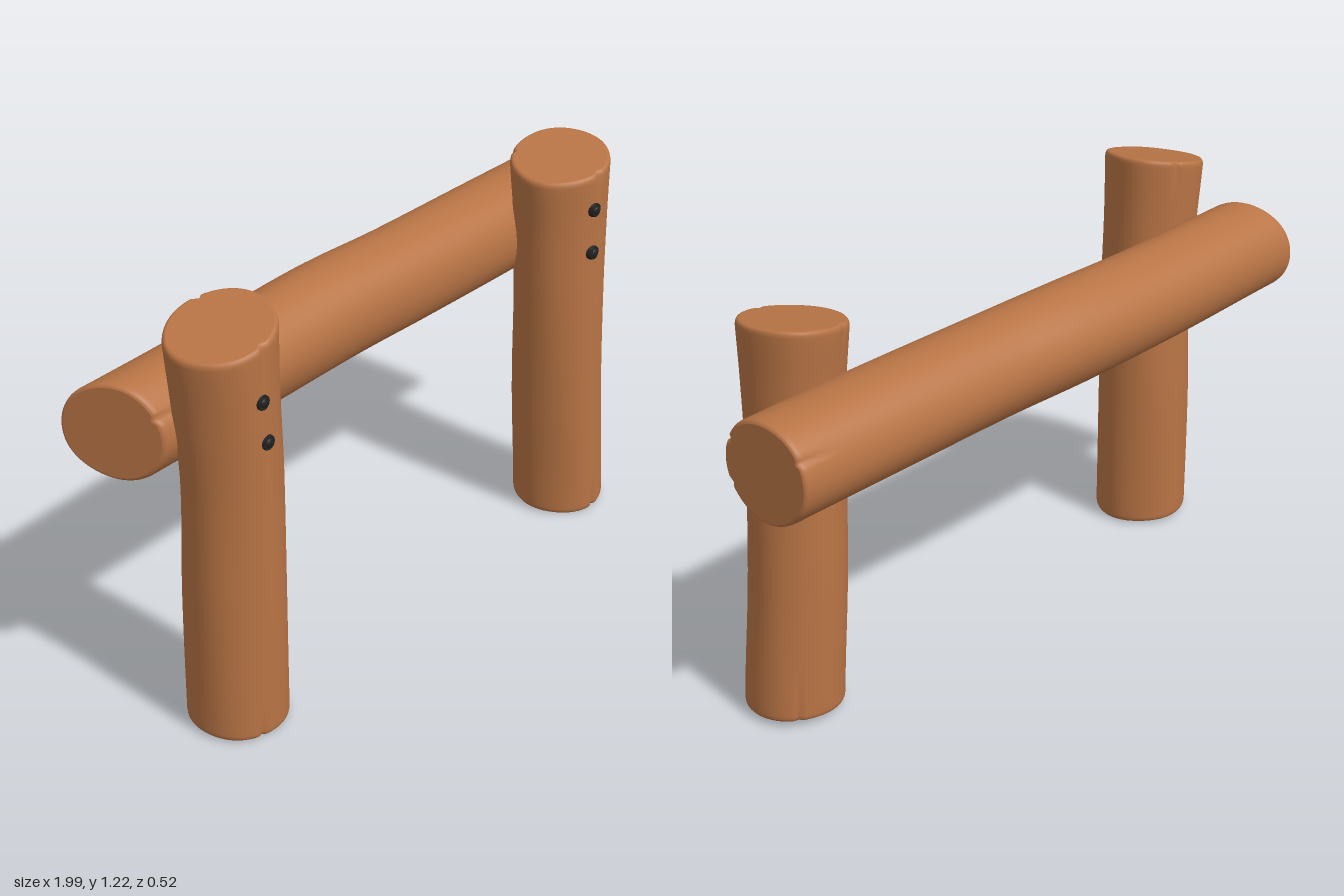
import * as THREE from 'three';

const SEG = 96;

// Piecewise smooth lookup through stations [t, centreA, centreB, radiusA, radiusB]
function profile(stations) {
  const curves = [1, 2, 3, 4].map(k => new THREE.SplineCurve(stations.map(s => new THREE.Vector2(s[0], s[k]))));
  const n = stations.length - 1;
  return t => {
    let i = 0;
    while (i < n - 1 && t > stations[i + 1][0]) i++;
    const f = THREE.MathUtils.clamp((t - stations[i][0]) / (stations[i + 1][0] - stations[i][0]), 0, 1);
    return curves.map(c => c.getPoint((i + f) / n).y);
  };
}

// Log swept along t; ends are [t, slopeA, slopeB], cracks are [angle, end 0|1, length, depth]
function logGeometry({ stations, start, end, cracks, toPoint, seed }) {
  const at = profile(stations);
  const length = end[0] - start[0];
  const rimSize = 0.018;
  const slices = [0, 0.002, 0.005, 0.01, 0.018].map(d => d / length);
  for (let i = 1; i < 40; i++) slices.push(THREE.MathUtils.lerp(rimSize / length, 1 - rimSize / length, i / 40));
  slices.push(...[0.018, 0.01, 0.005, 0.002, 0].map(d => 1 - d / length));

  const pos = [], index = [];
  slices.forEach(s => {
    const d = Math.min(s, 1 - s) * length;
    const k = Math.max(0, 1 - d / rimSize);
    const rim = 1 - 0.07 * (1 - Math.sqrt(1 - k * k));
    const [ca, cb, ra, rb] = at(start[0] + s * length);
    for (let j = 0; j < SEG; j++) {
      const th = j / SEG * Math.PI * 2;
      // gentle hand-hewn waviness plus drying cracks at the ends
      let r = rim * (1 + 0.01 * Math.sin(3 * th + seed + 2 * s) + 0.006 * Math.sin(5 * th + seed * 2 - 5 * s));
      for (const [angle, which, len, depth] of cracks) {
        const fade = Math.max(0, 1 - (which ? 1 - s : s) * length / len);
        const da = Math.atan2(Math.sin(th - angle), Math.cos(th - angle));
        r -= depth * fade * Math.exp(-((da / 0.05) ** 2));
      }
      const a = ra * r * Math.cos(th), b = rb * r * Math.sin(th);
      const t = THREE.MathUtils.lerp(
        start[0] + start[1] * a + start[2] * b,
        end[0] + end[1] * a + end[2] * b, s);
      pos.push(...toPoint(ca + a, cb + b, t));
    }
  });
  const rings = slices.length;
  for (let i = 0; i < rings - 1; i++) {
    for (let j = 0; j < SEG; j++) {
      const p = i * SEG + j, q = i * SEG + (j + 1) % SEG;
      index.push(p, p + SEG, q, q, p + SEG, q + SEG);
    }
  }
  // Flat sawn ends with their own vertices, so the edge stays crisp
  [0, rings - 1].forEach((ring, top) => {
    const base = pos.length / 3;
    pos.push(...pos.slice(ring * SEG * 3, (ring + 1) * SEG * 3));
    const [ca, cb] = at(top ? end[0] : start[0]);
    pos.push(...toPoint(ca, cb, top ? end[0] : start[0]));
    for (let j = 0; j < SEG; j++) {
      const p = base + j, q = base + (j + 1) % SEG;
      index.push(base + SEG, top ? q : p, top ? p : q);
    }
  });
  const g = new THREE.BufferGeometry();
  g.setAttribute('position', new THREE.Float32BufferAttribute(pos, 3));
  g.setIndex(index);
  g.computeVertexNormals();
  return g;
}

export function createModel() {
  const wood = new THREE.MeshStandardMaterial({ color: 0xb87445 });
  wood.name = 'wood';
  const iron = new THREE.MeshStandardMaterial({ color: 0x222222 });
  iron.name = 'iron';
  const group = new THREE.Group();
  group.name = 'logHitchingRail';
  const add = (name, geometry, material, parent = group) => {
    const m = new THREE.Mesh(geometry, material);
    m.name = name;
    parent.add(m);
    return m;
  };

  const upright = (a, b, t) => [a, t, b];
  const lengthwise = (a, b, t) => [t, b, a];

  // Posts
  add('rightPost', logGeometry({
    stations: [[0, -0.74, 0.112, 0.14, 0.137], [0.4, -0.737, 0.112, 0.139, 0.137],
      [0.75, -0.736, 0.116, 0.135, 0.132], [1, -0.748, 0.112, 0.14, 0.137], [1.22, -0.757, 0.11, 0.15, 0.143]],
    start: [0.01, 0, -0.03], end: [1.185, 0.24, -0.09],
    cracks: [[1.55, 1, 0.12, 0.09], [-1.2, 1, 0.1, 0.1], [1.9, 0, 0.06, 0.06]],
    toPoint: upright, seed: 1
  }), wood);
  add('leftPost', logGeometry({
    stations: [[0, 0.746, 0.112, 0.139, 0.137], [0.4, 0.715, 0.112, 0.133, 0.137],
      [0.75, 0.698, 0.117, 0.134, 0.132], [1, 0.697, 0.112, 0.14, 0.136], [1.18, 0.695, 0.106, 0.15, 0.144]],
    start: [0.014, 0.04, -0.06], end: [1.16, 0.18, -0.1],
    cracks: [[1.6, 1, 0.08, 0.08], [-2, 1, 0.08, 0.07], [1.6, 0, 0.1, 0.08], [-0.9, 0, 0.2, 0.06]],
    toPoint: upright, seed: 2.3
  }), wood);

  // Cross beam behind the posts
  add('crossBeam', logGeometry({
    stations: [[-0.96, -0.093, 0.892, 0.143, 0.138], [-0.5, -0.105, 0.892, 0.143, 0.142],
      [-0.1, -0.11, 0.9, 0.147, 0.146], [0.2, -0.1, 0.9, 0.144, 0.145],
      [0.6, -0.096, 0.9, 0.146, 0.146], [1, -0.096, 0.9, 0.147, 0.143]],
    start: [-0.95, 0.32, 0], end: [0.99, 0.03, -0.02],
    cracks: [[0.42, 1, 0.2, 0.12], [-0.5, 1, 0.1, 0.07], [2.6, 1, 0.1, 0.07], [0.5, 0, 0.12, 0.08]],
    toPoint: lengthwise, seed: 4
  }), wood);

  // Bolt heads on the front of the posts
  const rim = new THREE.CylinderGeometry(0.02, 0.025, 0.02, 12).rotateX(Math.PI / 2);
  const knob = new THREE.SphereGeometry(0.013, 12, 8).scale(1, 1, 0.5);
  [[-0.76, 1.02, 'rightUpper'], [-0.745, 0.9, 'rightLower'],
    [0.675, 1.035, 'leftUpper'], [0.675, 0.9, 'leftLower']].forEach(([x, y, side]) => {
    const bolt = new THREE.Group();
    bolt.name = side + 'Bolt';
    bolt.position.set(x, y, 0.245);
    add('boltHead', rim, iron, bolt);
    add('boltTip', knob, iron, bolt).position.z = 0.009;
    group.add(bolt);
  });
  return group;
}
